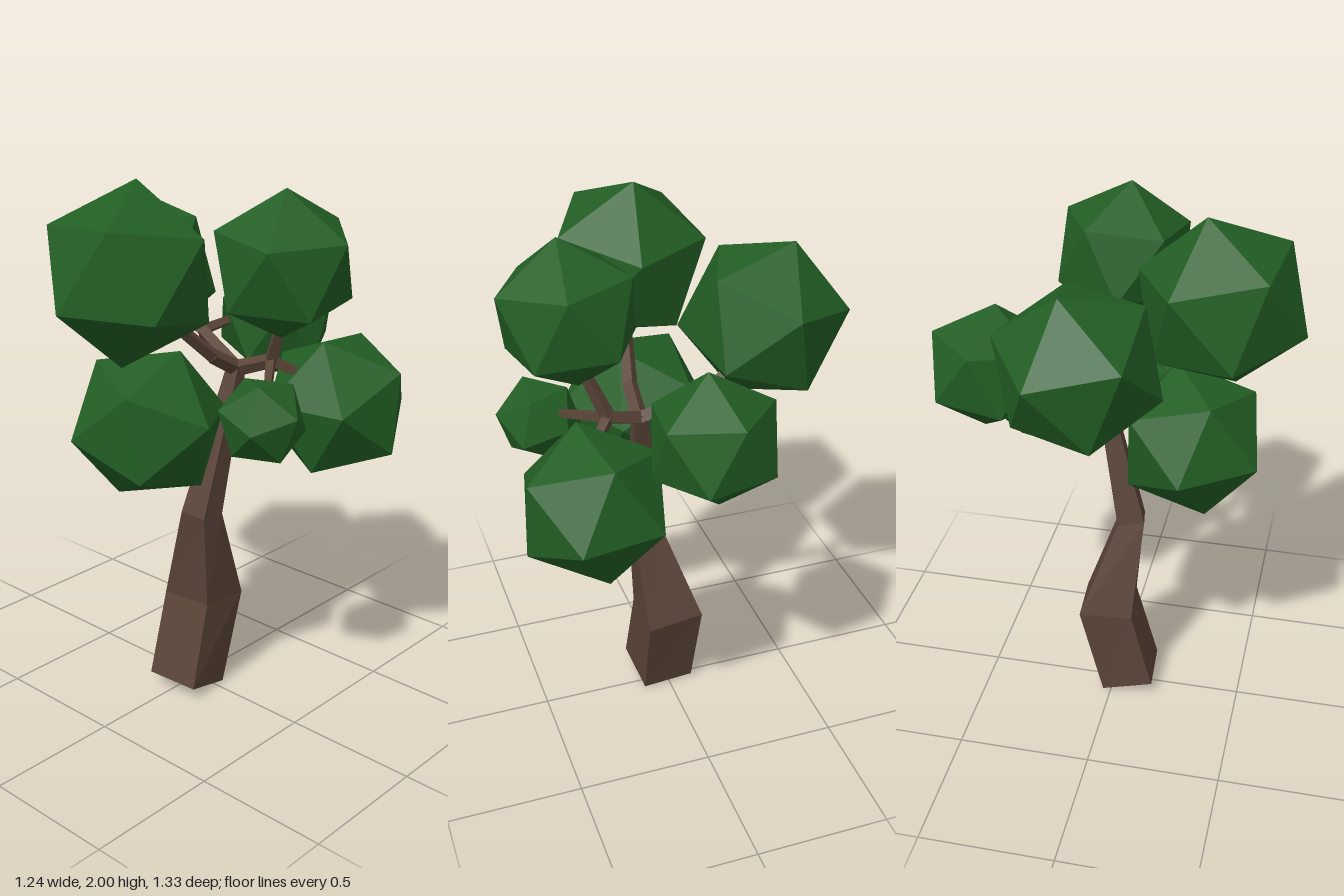
import * as THREE from 'three';

const bark = new THREE.MeshStandardMaterial({ color: 0x5a4438, flatShading: true });
bark.name = 'bark brown';
const leaf = new THREE.MeshStandardMaterial({ color: 0x225e24, flatShading: true });
leaf.name = 'leaf green';

const vec = (a) => new THREE.Vector3(...a);

// Leaf clump: a regular icosahedron turned so two neighbouring corners point along a and b
function clump(name, center, radius, a, b) {
  const p = vec(a).normalize(), q = vec(b).normalize();
  const x = q.clone().sub(p).normalize();
  const y = q.clone().add(p).normalize();
  const z = x.clone().cross(y);
  const mesh = new THREE.Mesh(new THREE.IcosahedronGeometry(radius, 0), leaf);
  mesh.quaternion.setFromRotationMatrix(new THREE.Matrix4().makeBasis(x, y, z));
  mesh.position.set(...center);
  mesh.name = name;
  return mesh;
}

// Trunk: four-sided cross-sections joined from the ground up
function trunkGeometry(rings) {
  const index = [];
  const n = rings.length;
  for (let i = 0; i < n - 1; i++) {
    for (let j = 0; j < 4; j++) {
      const a = i * 4 + j, b = i * 4 + (j + 1) % 4;
      index.push(a, b, b + 4, a, b + 4, a + 4);
    }
  }
  const t = (n - 1) * 4;
  index.push(0, 2, 1, 0, 3, 2, t, t + 1, t + 2, t, t + 2, t + 3);
  const geo = new THREE.BufferGeometry();
  geo.setAttribute('position', new THREE.Float32BufferAttribute(rings.flat(2), 3));
  geo.setIndex(index);
  const flat = geo.toNonIndexed();
  flat.computeVertexNormals();
  return flat;
}

// Branch: tapered four-sided stick between two points
function branch(name, from, to, r0, r1) {
  const a = vec(from), b = vec(to), d = b.clone().sub(a);
  const mesh = new THREE.Mesh(new THREE.CylinderGeometry(r1, r0, d.length(), 4), bark);
  mesh.position.copy(a).add(b).multiplyScalar(0.5);
  mesh.quaternion.setFromUnitVectors(new THREE.Vector3(0, 1, 0), d.normalize());
  mesh.name = name;
  return mesh;
}

export function createModel() {
  const tree = new THREE.Group();
  tree.name = 'tree';

  // Corners per ring: front right, front left, back left, back right
  const trunk = new THREE.Mesh(trunkGeometry([
    [[-0.087, 0.053, 0.165], [0.124, 0.052, 0.15], [0.103, 0, -0.042], [-0.098, 0.004, -0.03]],
    [[-0.085, 0.37, 0.08], [0.114, 0.376, 0.062], [0.112, 0.36, -0.138], [-0.108, 0.375, -0.12]],
    [[0.025, 0.75, 0.106], [0.122, 0.74, 0.09], [0.126, 0.737, -0.005], [0.014, 0.73, 0.005]],
    [[0.1, 1.3, -0.055], [0.15, 1.3, -0.06], [0.15, 1.3, -0.105], [0.1, 1.3, -0.1]],
  ]), bark);
  trunk.name = 'trunk';
  tree.add(trunk);

  // Branches
  const fork = [0.125, 1.285, -0.08];
  const leftElbow = [0.25, 1.33, -0.12];
  const rightElbow = [-0.1, 1.37, -0.14];
  tree.add(
    branch('frontBranch', fork, [0.12, 1.36, 0.05], 0.03, 0.027),
    branch('frontBranchTip', [0.12, 1.355, 0.04], [0.07, 1.55, 0.26], 0.027, 0.02),
    branch('leftBranch', fork, leftElbow, 0.03, 0.027),
    branch('leftUpperTwig', leftElbow, [0.33, 1.52, -0.09], 0.027, 0.022),
    branch('leftBackTwig', leftElbow, [0.34, 1.27, -0.22], 0.024, 0.02),
    branch('leftFrontTwig', leftElbow, [0.4, 1.27, 0.08], 0.022, 0.016),
    branch('rightBranch', fork, rightElbow, 0.03, 0.026),
    branch('rightUpperTwig', rightElbow, [-0.25, 1.47, -0.09], 0.026, 0.02),
    branch('rightBackTwig', rightElbow, [-0.08, 1.39, -0.32], 0.024, 0.018),
  );

  // Leaf clumps
  tree.add(
    clump('topFrontLeaves', [0.033, 1.693, 0.364], 0.313, [-0.017, 0.307, -0.059], [-0.202, 0.165, 0.176]),
    clump('upperRightLeaves', [-0.341, 1.589, -0.055], 0.303, [-0.095, 0.286, -0.034], [-0.02, 0.1, -0.287]),
    clump('upperLeftLeaves', [0.36, 1.707, -0.045], 0.266, [0.024, 0.264, 0.022], [0.242, 0.1, -0.022]),
    clump('lowerFrontLeaves', [0.03, 1.146, 0.275], 0.287, [-0.087, -0.265, 0.07], [-0.281, -0.048, 0]),
    clump('smallLeftLeaves', [0.435, 1.22, 0.143], 0.16, [0.15, 0.035, 0.005], [0.035, 0.144, 0.069]),
    clump('backLeaves', [-0.01, 1.382, -0.46], 0.242, [0.01, 0.235, 0.027], [0.207, 0.11, -0.098]),
    clump('lowerBackLeaves', [0.376, 1.145, -0.35], 0.283, [0.11, -0.027, -0.26], [-0.02, -0.25, -0.11]),
  );
  return tree;
}
